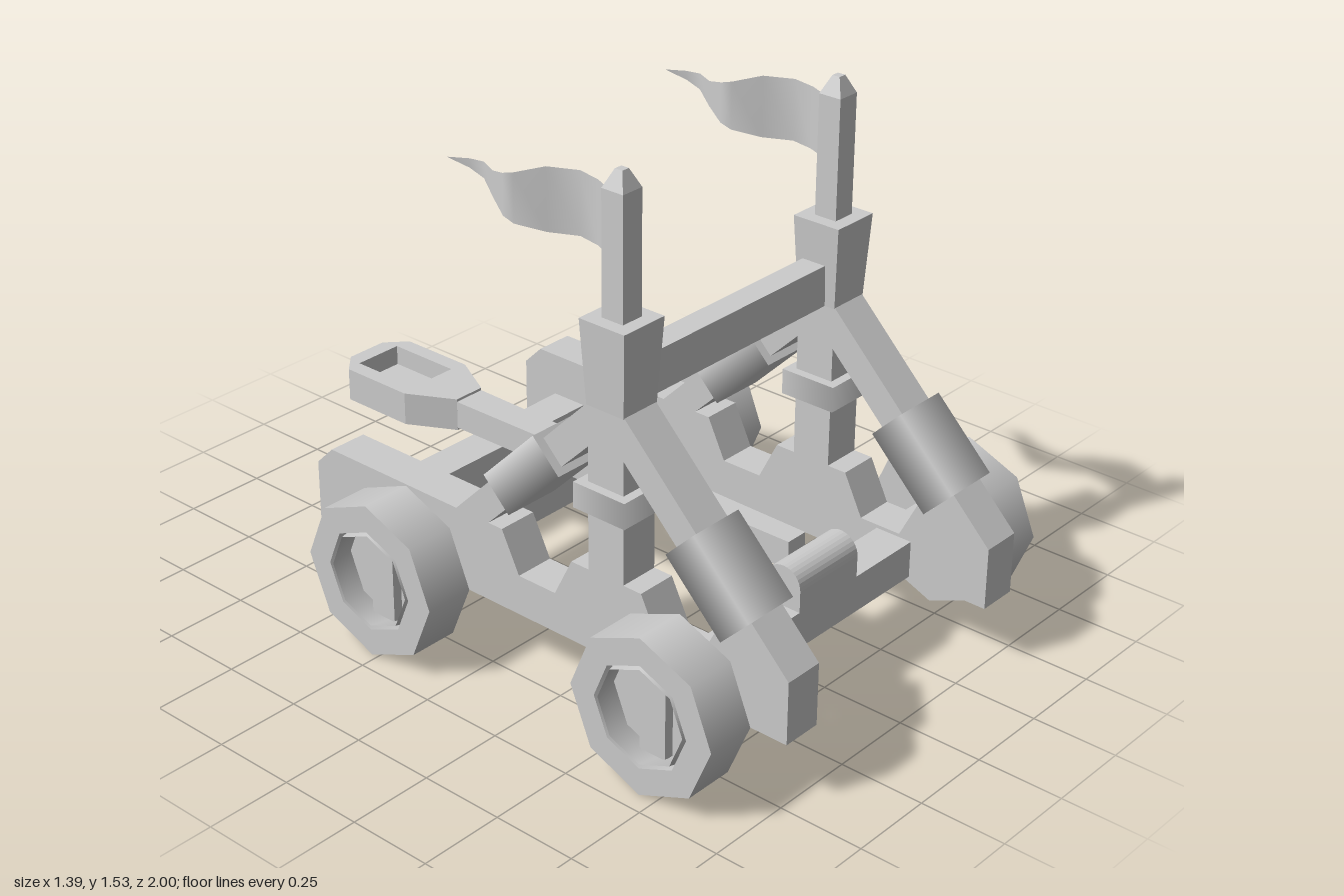
import * as THREE from 'three';

export function createModel() {
  const model = new THREE.Group();
  model.name = 'catapult';
  const grey = new THREE.MeshStandardMaterial({ color: 0xcccccc, side: THREE.DoubleSide });
  grey.name = 'grey';

  function add(name, geometry, parent = model) {
    const mesh = new THREE.Mesh(geometry, grey);
    mesh.name = name;
    parent.add(mesh);
    return mesh;
  }
  // Box given by its limits on each axis
  function box(name, [x0, x1], [y0, y1], [z0, z1], parent) {
    const g = new THREE.BoxGeometry(x1 - x0, y1 - y0, z1 - z0);
    g.translate((x0 + x1) / 2, (y0 + y1) / 2, (z0 + z1) / 2);
    return add(name, g, parent);
  }
  // Four-sided tapered block; its sides are softly shaded unless flat
  function block(topWidth, bottomWidth, height, depthRatio, flat) {
    let g = new THREE.CylinderGeometry(topWidth * Math.SQRT1_2, bottomWidth * Math.SQRT1_2, height, 4);
    g.rotateY(Math.PI / 4);
    g.scale(1, 1, depthRatio);
    if (flat) {
      g = g.toNonIndexed();
      g.computeVertexNormals();
    }
    return g;
  }
  const toShape = (pts) => new THREE.Shape(pts.map(([a, b]) => new THREE.Vector2(a, b)));
  // Side profile in (z, y), extruded symmetrically across x
  function sideExtrude(shape, width) {
    const g = new THREE.ExtrudeGeometry(shape, { depth: width, bevelEnabled: false, curveSegments: 8 });
    g.translate(0, 0, -width / 2);
    g.rotateY(-Math.PI / 2);
    return g;
  }

  // Side frame: rail, upright and two braces, with a notched opening each side of the upright
  const frame = toShape([[1, 0.18], [1, 0.363], [0.46, 0.905], [0.34, 0.905], [-0.14, 0.42],
    [-0.63, 0.42], [-0.69, 0.36], [-0.69, 0.18]]);
  const opening = [[0.06, 0.78], [0.06, 0.42], [0.12, 0.42], [0.18, 0.30], [0.31, 0.30], [0.37, 0.42], [0.42, 0.42]];
  for (const s of [-1, 1]) {
    frame.holes.push(toShape(opening.map(([d, y]) => [0.40 + s * d, y])));
  }
  const frameGeometry = sideExtrude(frame, 0.12);

  // Rippling flag: sections of [x, z, top, bottom]
  const sections = [[0.0, 0.37, 1.465, 1.288], [0.035, 0.29, 1.465, 1.288], [0.048, 0.22, 1.465, 1.288],
    [0.01, 0.14, 1.465, 1.288], [-0.035, 0.07, 1.443, 1.305], [-0.032, 0.03, 1.43, 1.314],
    [0.01, -0.045, 1.403, 1.33], [0.035, -0.10, 1.404, 1.358], [0.025, -0.14, 1.405, 1.379], [-0.005, -0.19, 1.405, 1.404]];
  const positions = [], indices = [];
  sections.forEach(([x, z, top, bottom], i) => {
    positions.push(x, top, z, x, bottom, z);
    if (i) {
      const a = 2 * i - 2;
      indices.push(a, a + 1, a + 2, a + 1, a + 3, a + 2);
    }
  });
  const flagGeometry = new THREE.BufferGeometry();
  flagGeometry.setAttribute('position', new THREE.Float32BufferAttribute(positions, 3));
  flagGeometry.setIndex(indices);
  flagGeometry.computeVertexNormals();

  for (const side of [-1, 1]) {
    const tower = new THREE.Group();
    tower.name = side > 0 ? 'leftTower' : 'rightTower';
    tower.position.x = side * 0.425;
    model.add(tower);

    add('sideFrame', frameGeometry, tower);
    add('capital', block(0.15, 0.125, 0.24, 1, true), tower).position.set(0, 1.02, 0.40);
    box('flagPole', [-0.035, 0.035], [1.13, 1.485], [0.365, 0.435], tower);
    add('poleTip', block(0.024, 0.07, 0.05, 1, true), tower).position.set(0, 1.51, 0.40);
    add('flag', flagGeometry, tower);

    // Wrappings on the upright and the braces
    add('uprightCollar', block(0.174, 0.174, 0.075, 1), tower).position.set(0, 0.643, 0.40);
    for (const [z, y, tilt] of [[0.758, 0.543, -1], [0.128, 0.628, 1]]) {
      const sleeve = add('braceSleeve', block(0.174, 0.174, 0.255, 0.125 / 0.174), tower);
      sleeve.position.set(0, y, z);
      sleeve.rotation.x = tilt * Math.PI / 4;
    }
  }

  // Cross members
  box('topBeam', [-0.365, 0.365], [0.90, 1.02], [0.355, 0.43]);
  box('frontAxle', [-0.56, 0.56], [0.18, 0.29], [0.635, 0.75]);
  box('rearAxle', [-0.56, 0.56], [0.18, 0.29], [-0.33, -0.215]);
  box('rearBeam', [-0.365, 0.365], [0.18, 0.29], [-0.57, -0.455]);

  // Round-topped stop block on the front axle
  const stop = new THREE.Shape();
  stop.moveTo(0.635, 0.28);
  stop.lineTo(0.75, 0.28);
  stop.lineTo(0.75, 0.353);
  stop.absarc(0.6925, 0.353, 0.0575, 0, Math.PI, false);
  add('stopBlock', sideExtrude(stop, 0.244));

  // Throwing arm with a spoon; plan outlines in (x, -z), extruded upward
  function planExtrude(shape, y0, y1) {
    const g = new THREE.ExtrudeGeometry(shape, { depth: y1 - y0, bevelEnabled: false });
    g.rotateX(-Math.PI / 2);
    g.translate(0, y0, 0);
    return g;
  }
  const spoonOutline = [[-0.05, 0.57], [0.05, 0.57], [0.125, 0.71], [0.125, 0.945], [0.065, 1], [-0.065, 1],
    [-0.125, 0.945], [-0.125, 0.71]];
  const rim = toShape(spoonOutline);
  rim.holes.push(toShape([[-0.077, 0.72], [0.077, 0.72], [0.077, 0.95], [-0.077, 0.95]]));
  add('spoonRim', planExtrude(rim, 0.37, 0.43));
  add('spoonBase', planExtrude(toShape(spoonOutline), 0.33, 0.37));
  const arm = toShape([[-0.035, -0.64], [0.035, -0.64], [0.05, 0.575], [-0.05, 0.575]]);
  add('throwingArm', planExtrude(arm, 0.338, 0.422));

  // Eight-sided wheels with a recessed face and an upright plank
  for (const side of [-1, 1]) {
    for (const z of [0.70, -0.27]) {
      const wheel = new THREE.Group();
      wheel.name = 'wheel';
      wheel.position.set(side * 0.62, 0.232, z);
      wheel.rotation.y = side * Math.PI / 2;
      model.add(wheel);
      const tread = new THREE.CylinderGeometry(0.232, 0.232, 0.15, 8, 1, true).rotateX(Math.PI / 2);
      add('tread', tread, wheel);
      const recess = new THREE.CylinderGeometry(0.14, 0.155, 0.08, 8, 1, true).rotateX(-Math.PI / 2);
      recess.rotateY(Math.PI);
      add('recessWall', recess, wheel).position.z = 0.035;
      add('wheelRim', new THREE.RingGeometry(0.152, 0.232, 8), wheel).position.z = 0.075;
      add('wheelFace', new THREE.CircleGeometry(0.156, 8), wheel).position.z = -0.004;
      const back = add('wheelBack', new THREE.CircleGeometry(0.232, 8), wheel);
      back.position.z = -0.075;
      back.rotation.y = Math.PI;
      box('wheelPlank', [-0.042, 0.042], [-0.135, 0.135], [-0.01, 0.025], wheel);
    }
  }
  return model;
}
